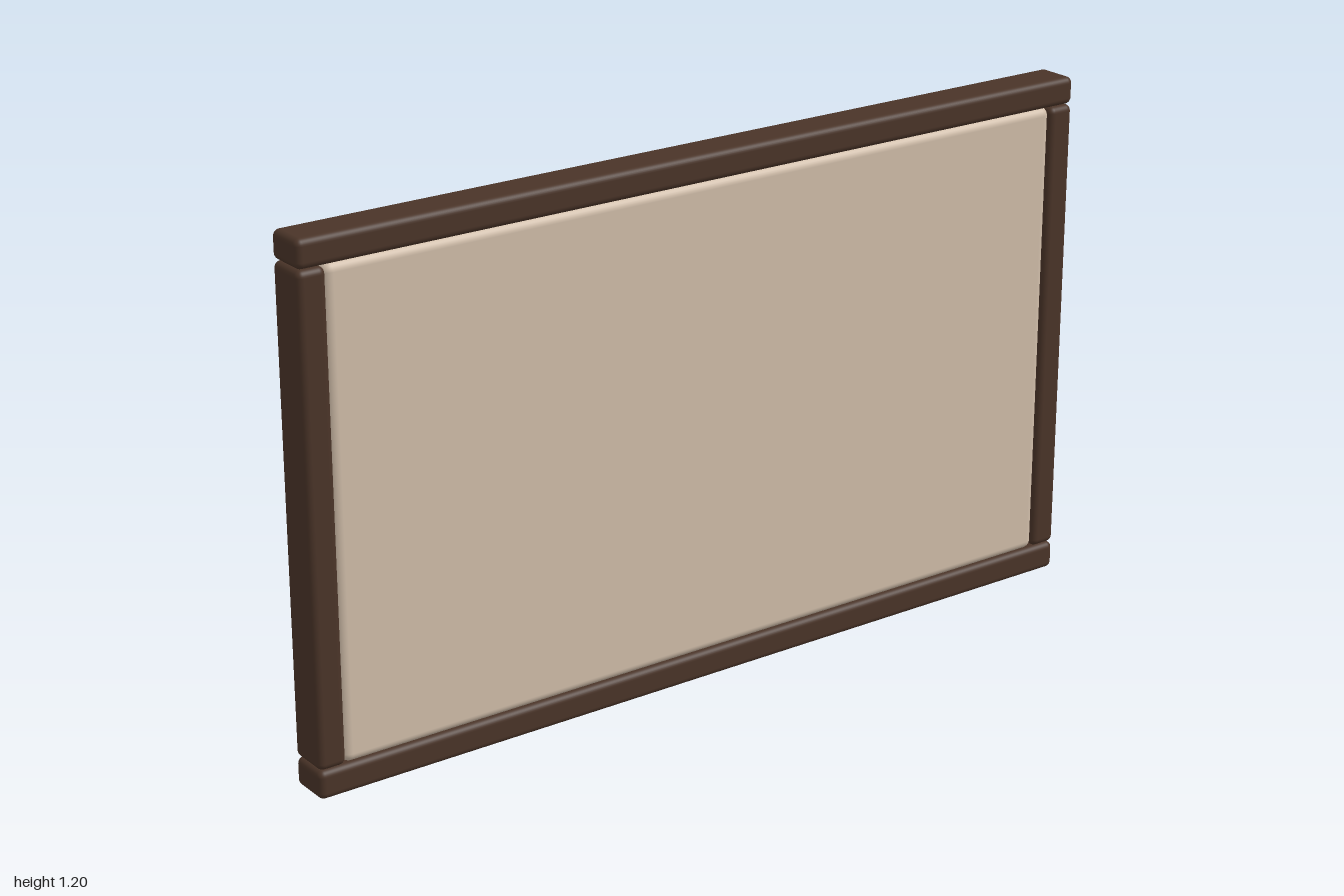
import * as THREE from 'three';
import { RoundedBoxGeometry } from 'three/addons/geometries/RoundedBoxGeometry.js';

const paint = (color, flatShading = false) => new THREE.MeshStandardMaterial({ color, flatShading });
const wood = paint(0x4a3428);
const linen = paint(0xd0bda9);
const clay = 0xb07050;
const cream = 0xe0dacb;

export function createModel() {
  const group = new THREE.Group();

  const add = (name, geometry, material, x, y, z) => {
    const mesh = new THREE.Mesh(geometry, material);
    mesh.name = name;
    mesh.position.set(x, y, z);
    group.add(mesh);
    return mesh;
  };
  const block = (name, size, radius, material, x, y, z) =>
    add(name, new RoundedBoxGeometry(...size, 4, radius), material, x, y, z);

  // Frame: full-width rails with stiles between them
  block('topRail', [2, 0.063, 0.1], 0.015, wood, 0, 1.1685, 0.075);
  block('bottomRail', [2, 0.065, 0.1], 0.015, wood, 0, 0.0325, 0.075);
  for (const [name, side] of [['leftStile', 1], ['rightStile', -1]])
    block(name, [0.065, 1.07, 0.1], 0.015, wood, side * 0.9675, 0.601, 0.075);

  // Panel set inside the frame
  block('panel', [1.876, 1.076, 0.07], 0.02, linen, 0, 0.601, 0.085);

  // Round plates on the back, running from the panel to their rear face
  const disc = (name, radius, color, x, y, zBack) => {
    const depth = 0.06 - zBack;
    const geometry = new THREE.CylinderGeometry(radius, radius, depth, 48).rotateX(Math.PI / 2);
    add(name, geometry, paint(color, true), x, y, zBack + depth / 2);
  };
  disc('largeDisc', 0.34, clay, -0.395, 0.73, -0.025);
  disc('smallDisc', 0.215, cream, 0.505, 0.5, -0.04);

  // Slanted bars leaning out from the back
  block('upperBar', [1.06, 0.168, 0.055], 0.024, paint(cream), 0.34, 0.894, -0.026)
    .rotation.y = -0.138;
  block('lowerBar', [0.845, 0.128, 0.055], 0.024, paint(clay), 0.17, 0.356, -0.04)
    .rotation.y = 0.125;

  return group;
}
